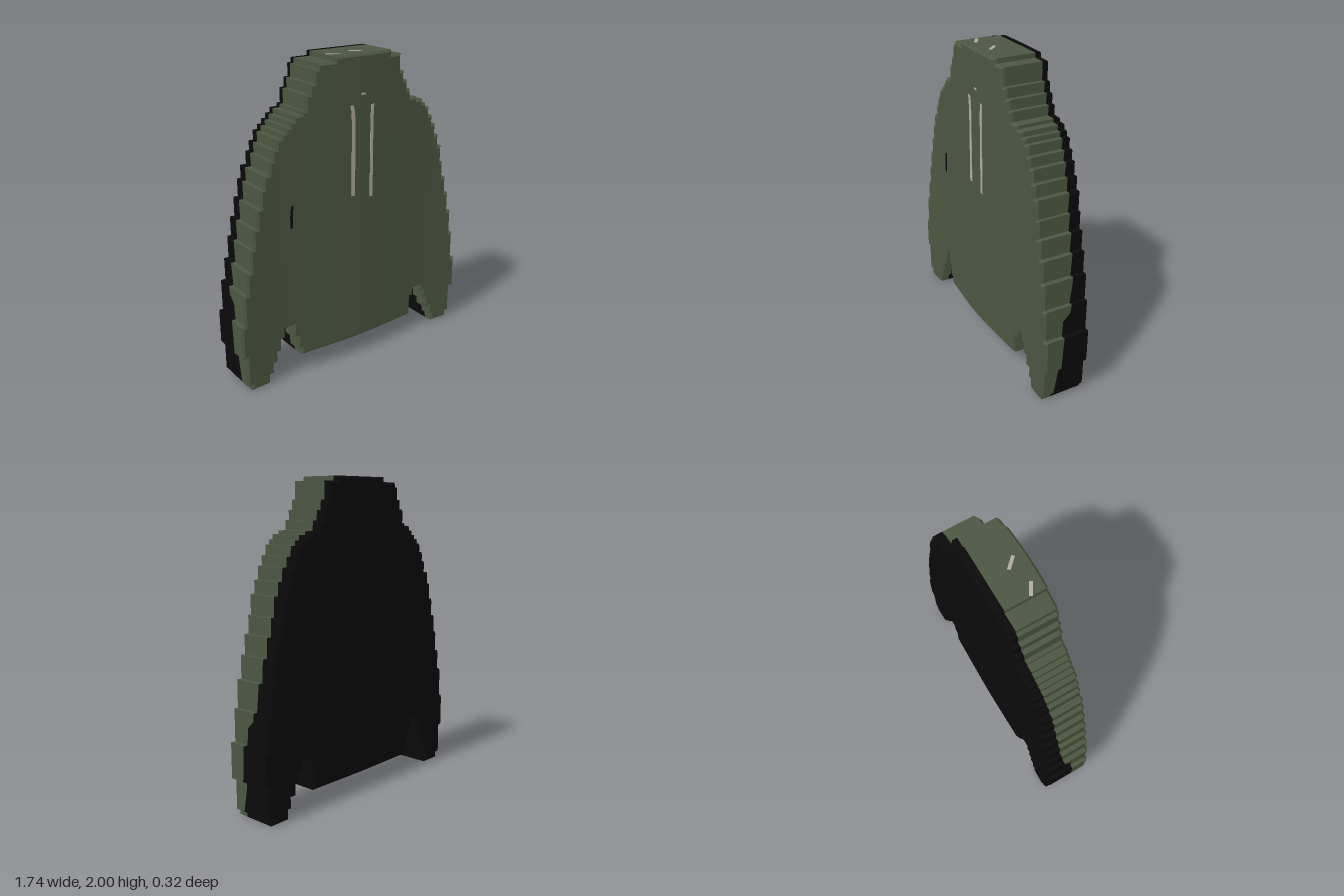
import * as THREE from 'three';

const green = new THREE.MeshStandardMaterial({ color: 0x4c5741 });
green.name = 'olive green';
const black = new THREE.MeshStandardMaterial({ color: 0x0a0a0a });
black.name = 'black';
const cream = new THREE.MeshStandardMaterial({ color: 0xb0ae9f });
cream.name = 'cream';

// Stepped outline, counter-clockwise: go across to x, then up or down to y
const leftSide = [
  [0.465, 0.26], [0.495, 0.32], [0.55, 0.27], [0.58, 0.2], [0.61, 0.13], [0.65, 0.06], [0.675, 0],
  [0.81, 0.04], [0.835, 0.24], [0.865, 0.46], [0.835, 0.66], [0.81, 0.83], [0.78, 0.97], [0.75, 1.09],
  [0.72, 1.2], [0.7, 1.32], [0.67, 1.4], [0.64, 1.48], [0.61, 1.54], [0.58, 1.6], [0.55, 1.63],
  [0.52, 1.66], [0.47, 1.68], [0.41, 1.74], [0.38, 1.8], [0.35, 1.86], [0.32, 1.97], [0.24, 2],
];
const rightSide = [
  [-0.185, 1.97], [-0.3, 1.94], [-0.325, 1.86], [-0.355, 1.8], [-0.385, 1.71], [-0.41, 1.69],
  [-0.46, 1.66], [-0.49, 1.63], [-0.52, 1.6], [-0.55, 1.57], [-0.58, 1.51], [-0.61, 1.45],
  [-0.635, 1.37], [-0.675, 1.29], [-0.7, 1.18], [-0.73, 1.06], [-0.76, 0.94], [-0.785, 0.8],
  [-0.815, 0.66], [-0.845, 0.46], [-0.87, 0.24], [-0.845, 0.04], [-0.815, 0], [-0.68, 0.06],
  [-0.65, 0.13], [-0.62, 0.2], [-0.59, 0.28], [-0.56, 0.35], [-0.5, 0.26], [-0.47, 0.17], [-0.445, 0.12],
];

// Gentle bow of the front and back surfaces across the width
const wave = (x) => Math.cos((x * Math.PI * 2) / 1.15);
const frontZ = (x) => 0.147 + 0.013 * wave(x);
const backZ = (x) => -0.157 - 0.004 * wave(x);
const BEVEL = 0.014;

// Depth at which the green front meets the black back, by height
const seam = [[0, 0.07], [0.2, 0.035], [0.56, 0.015], [0.58, -0.03], [0.8, -0.055], [1.1, -0.07],
  [1.4, -0.08], [1.65, -0.1], [1.85, -0.112], [2.01, -0.112]];
function seamZ(y) {
  const i = Math.max(1, seam.findIndex((s) => s[0] >= y));
  const [y0, z0] = seam[i - 1], [y1, z1] = seam[i];
  return z0 + ((z1 - z0) * (y - y0)) / (y1 - y0);
}

function outline() {
  const pts = [];
  let x = -0.445, y = 0.12;
  for (const [nx, ny] of [...leftSide, ...rightSide]) {
    const n = Math.max(1, Math.ceil(Math.abs(nx - x) / 0.05));
    for (let i = 1; i <= n; i++) pts.push([x + ((nx - x) * i) / n, y]);
    // Tall steps are cut so the seam can follow its curve
    const m = Math.max(1, Math.ceil(Math.abs(ny - y) / 0.06));
    for (let i = 1; i <= m; i++) pts.push([nx, y + ((ny - y) * i) / m]);
    x = nx; y = ny;
  }
  return pts;
}

const edgeNormal = (a, b) => [Math.sign(Math.round((b[1] - a[1]) * 1e4)), -Math.sign(Math.round((b[0] - a[0]) * 1e4))];

function inset(pts) {
  const n = pts.length;
  return pts.map((p, i) => {
    const u = edgeNormal(pts[(i + n - 1) % n], p), v = edgeNormal(p, pts[(i + 1) % n]);
    return [p[0] - BEVEL * Math.sign(u[0] + v[0]), p[1] - BEVEL * Math.sign(u[1] + v[1])];
  });
}

const quad = (list, a, b, c, d) => list.push(...a, ...b, ...c, ...a, ...c, ...d);

function meshFrom(name, positions, material, smoothCap) {
  const g = new THREE.BufferGeometry();
  g.setAttribute('position', new THREE.Float32BufferAttribute(positions, 3));
  g.computeVertexNormals();
  if (smoothCap) {
    // Smooth normals follow the bow of the surface
    const p = g.attributes.position, v = new THREE.Vector3(), e = 0.01;
    for (let i = 0; i < p.count; i++) {
      const x = p.getX(i);
      v.set((smoothCap(x - e) - smoothCap(x + e)) / (2 * e), 0, 1).normalize();
      if (p.getZ(i) < 0) v.negate();
      g.attributes.normal.setXYZ(i, v.x, v.y, v.z);
    }
  }
  const m = new THREE.Mesh(g, material);
  m.name = name;
  return m;
}

// Thin plate lying on the front, along a short path of [x, y] points
function frontPlate(name, path, width, material) {
  const up = path.map(([x, y]) => [x + width / 2, y]);
  const down = path.map(([x, y]) => [x - width / 2, y]).reverse();
  const shape = new THREE.Shape([...up, ...down].map((p) => new THREE.Vector2(...p)));
  const m = new THREE.Mesh(new THREE.ExtrudeGeometry(shape, { depth: 0.005, bevelEnabled: false }), material);
  m.name = name;
  m.position.z = frontZ(path[0][0]) - 0.002;
  return m;
}

export function createModel() {
  const group = new THREE.Group();
  group.name = 'hoodedJacket';
  const outer = outline(), inner = inset(outer), n = outer.length;

  // Edge walls with bevelled rims, split at the seam
  const frontWall = [], backWall = [];
  for (let i = 0; i < n; i++) {
    const j = (i + 1) % n, a = outer[i], b = outer[j], c = inner[i], d = inner[j];
    const under = edgeNormal(a, b)[1] < 0;
    const sa = under ? 0.11 : seamZ(a[1]), sb = under ? 0.11 : seamZ(b[1]);
    const fa = frontZ(a[0]) - BEVEL, fb = frontZ(b[0]) - BEVEL;
    const ba = backZ(a[0]) + BEVEL, bb = backZ(b[0]) + BEVEL;
    quad(frontWall, [...a, sa], [...b, sb], [...b, fb], [...a, fa]);
    quad(frontWall, [...a, fa], [...b, fb], [...d, frontZ(d[0])], [...c, frontZ(c[0])]);
    quad(backWall, [...a, ba], [...b, bb], [...b, sb], [...a, sa]);
    quad(backWall, [...c, backZ(c[0])], [...d, backZ(d[0])], [...b, bb], [...a, ba]);
  }

  // Front and back panels, built in upright columns
  const frontCap = [], backCap = [];
  const xs = [...new Set(inner.map((p) => +p[0].toFixed(4)))].sort((p, q) => p - q);
  for (let k = 0; k + 1 < xs.length; k++) {
    const x0 = xs[k], x1 = xs[k + 1], mid = (x0 + x1) / 2, ys = [];
    for (let i = 0; i < n; i++) {
      const p = inner[i], q = inner[(i + 1) % n];
      if ((p[0] - mid) * (q[0] - mid) < 0) ys.push(p[1]);
    }
    if (ys.length < 2) continue;
    const lo = Math.min(...ys), hi = Math.max(...ys);
    const f0 = frontZ(x0), f1 = frontZ(x1), b0 = backZ(x0), b1 = backZ(x1);
    quad(frontCap, [x0, lo, f0], [x1, lo, f1], [x1, hi, f1], [x0, hi, f0]);
    quad(backCap, [x1, lo, b1], [x0, lo, b0], [x0, hi, b0], [x1, hi, b1]);
  }
  group.add(
    meshFrom('frontPanel', frontCap, green, frontZ),
    meshFrom('backPanel', backCap, black, backZ),
    meshFrom('frontEdge', frontWall, green),
    meshFrom('backEdge', backWall, black),
  );

  // Drawstrings, neck stitch and a small dark mark on the chest
  group.add(
    frontPlate('rightDrawstring', [[-0.058, 1.13], [-0.057, 1.6], [-0.062, 1.67], [-0.07, 1.7]], 0.025, cream),
    frontPlate('leftDrawstring', [[0.082, 1.1], [0.082, 1.6], [0.087, 1.69]], 0.022, cream),
    frontPlate('neckStitch', [[0.017, 1.756], [0.017, 1.768]], 0.03, cream),
    frontPlate('chestMark', [[-0.497, 1.01], [-0.498, 1.08], [-0.49, 1.15]], 0.016, black),
  );

  // Light flecks on top of the hood
  for (const [x, z, turn] of [[-0.145, 0.07, -0.55], [0.035, 0.055, -0.8]]) {
    const fleck = new THREE.Mesh(new THREE.BoxGeometry(0.085, 0.004, 0.02), cream);
    fleck.name = 'hoodFleck';
    fleck.position.set(x, 2, z);
    fleck.rotation.y = turn;
    group.add(fleck);
  }
  return group;
}
